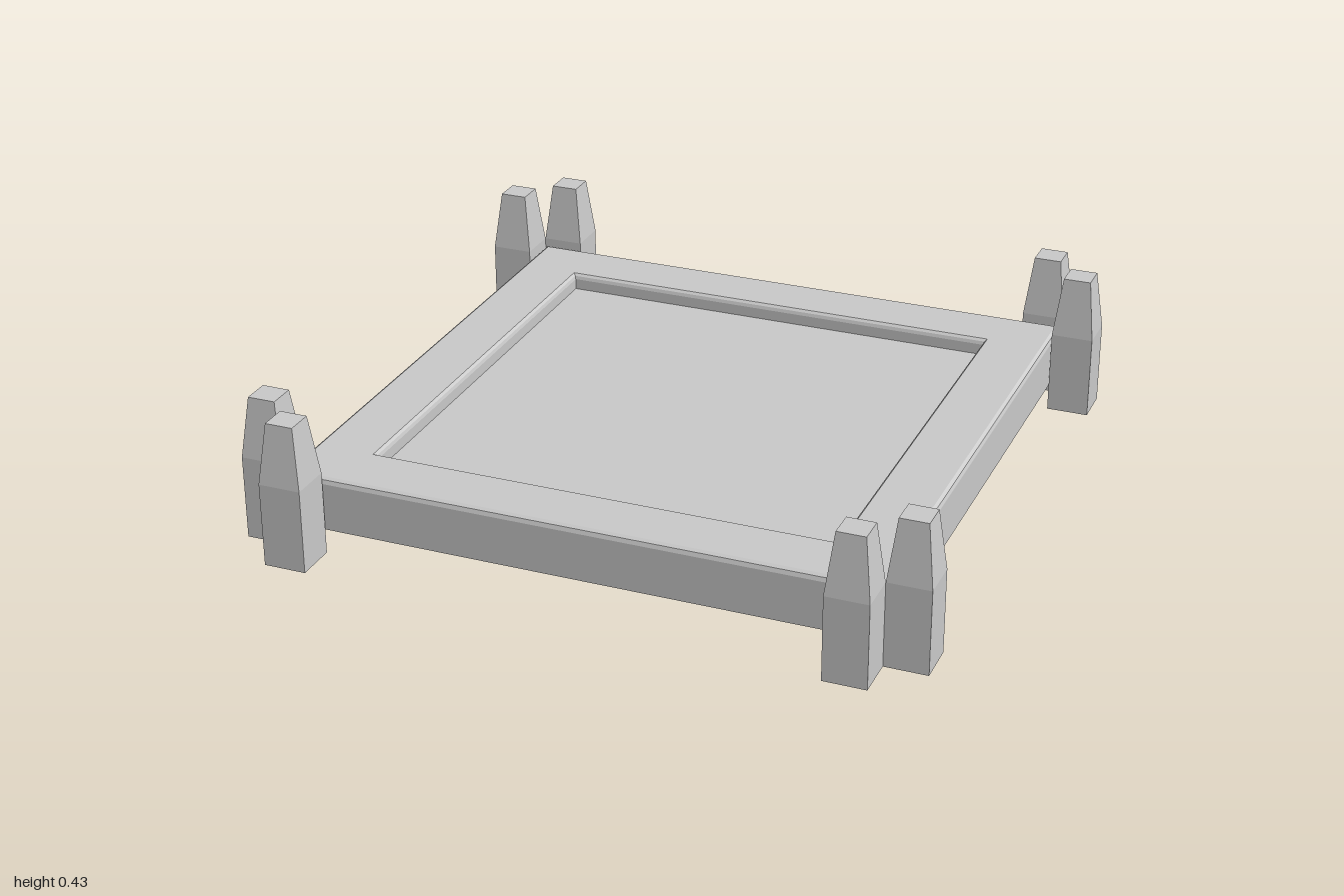
import * as THREE from 'three';

const material = new THREE.MeshStandardMaterial({ color: 0xcccccc, flatShading: true });

// Square solid from a profile of [half width, height], bottom to top
function squareLathe(profile) {
  const points = profile.map(([half, y]) => new THREE.Vector2(half * Math.SQRT2, y));
  return new THREE.LatheGeometry(points, 4, Math.PI / 4);
}

export function createModel() {
  const model = new THREE.Group();
  model.name = 'platform';

  // Slab with softened top edge and a sunken panel
  const slab = new THREE.Mesh(squareLathe([
    [0, 0.07], [0.87, 0.07], [0.87, 0.212], [0.866, 0.224], [0.857, 0.23],
    [0.69, 0.23], [0.683, 0.223], [0.68, 0.213], [0.68, 0.18], [0, 0.18],
  ]), material);
  slab.name = 'recessedSlab';
  model.add(slab);

  // Pair of tapered posts at each corner, one on each adjoining side
  const postGeometry = squareLathe([
    [0, 0], [0.0625, 0], [0.0625, 0.25], [0.041, 0.43], [0, 0.43],
  ]);
  for (const sx of [-1, 1]) {
    for (const sz of [-1, 1]) {
      const pair = new THREE.Group();
      pair.name = 'cornerPosts';
      for (const [x, z] of [[0.9375, 0.8125], [0.8125, 0.9375]]) {
        const post = new THREE.Mesh(postGeometry, material);
        post.name = 'post';
        post.position.set(sx * x, 0, sz * z);
        pair.add(post);
      }
      model.add(pair);
    }
  }
  return model;
}
